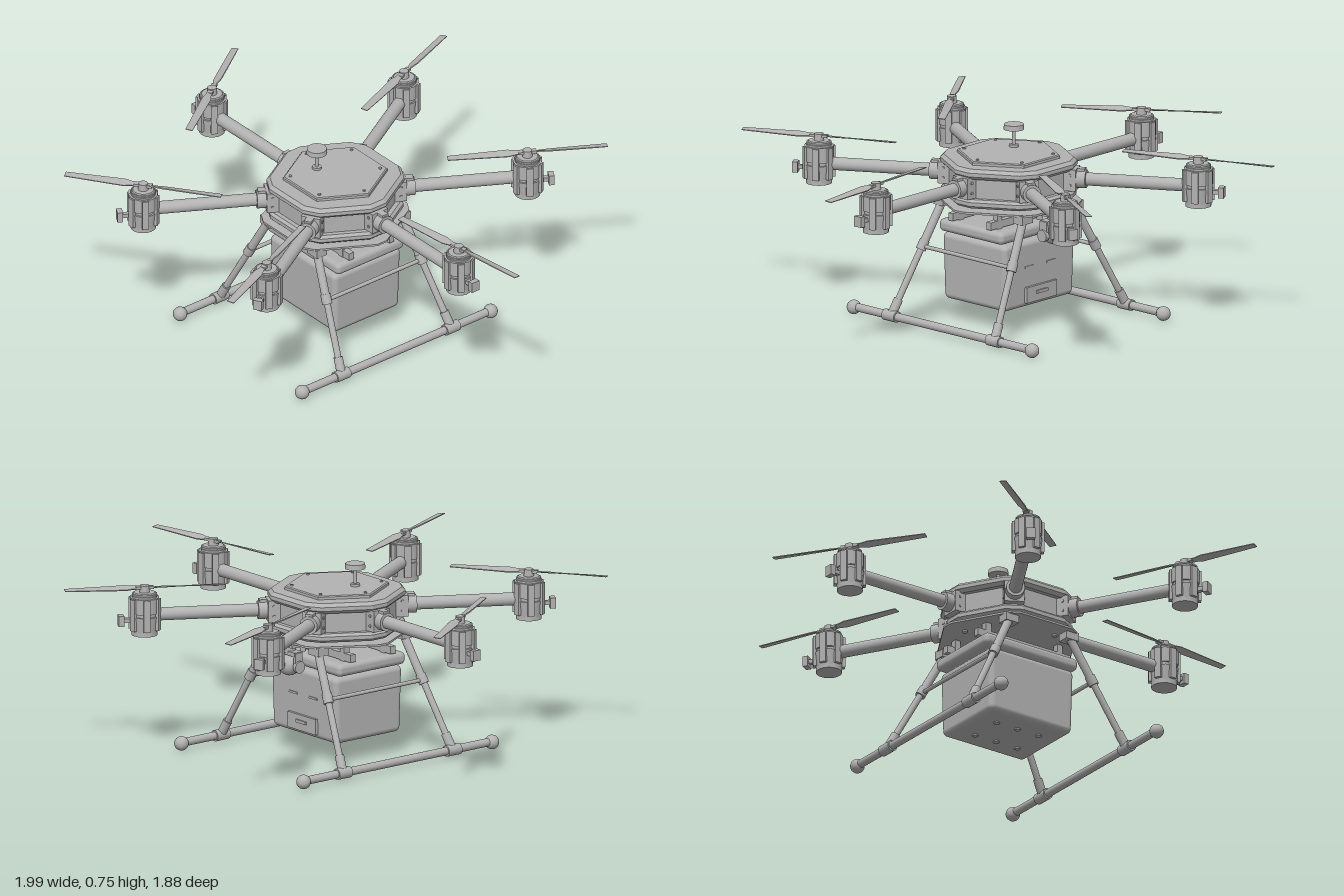
import * as THREE from 'three';
import { RoundedBoxGeometry } from 'three/addons/geometries/RoundedBoxGeometry.js';

export function createModel() {
  const model = new THREE.Group();
  model.name = 'cargoHexacopter';
  const grey = new THREE.MeshStandardMaterial({ color: 0xb2b2b2 });
  grey.name = 'grey';

  // All parts are laid out around the airframe axis, which sits slightly to the right
  const frame = new THREE.Group();
  frame.name = 'airframe';
  frame.position.x = -0.065;
  model.add(frame);

  const add = (parent, name, geo, x = 0, y = 0, z = 0) => {
    const m = new THREE.Mesh(geo, grey);
    m.name = name;
    m.position.set(x, y, z);
    parent.add(m);
    return m;
  };
  const box = (p, name, w, h, d, x, y, z) => add(p, name, new THREE.BoxGeometry(w, h, d), x, y, z);
  const cyl = (p, name, r, h, x, y, z, r2 = r, seg = 20) =>
    add(p, name, new THREE.CylinderGeometry(r2, r, h, seg), x, y, z);
  const UP = new THREE.Vector3(0, 1, 0);
  const rod = (p, name, a, b, r, seg = 16) => {
    const A = new THREE.Vector3(...a), B = new THREE.Vector3(...b);
    const m = add(p, name, new THREE.CylinderGeometry(r, r, A.distanceTo(B), seg));
    m.position.copy(A).add(B).multiplyScalar(0.5);
    m.quaternion.setFromUnitVectors(UP, B.sub(A).normalize());
    return m;
  };
  // Hexagonal slab with its corners cut by an angle, optionally chamfered
  const hexPlate = (name, R, cut, y0, y1, chamfer = 0) => {
    const pts = [];
    for (let i = 0; i < 6; i++) {
      for (const s of cut ? [-cut, cut] : [0]) {
        const a = i * Math.PI / 3 + s;
        pts.push(new THREE.Vector2(Math.cos(a) * R, Math.sin(a) * R));
      }
    }
    const geo = new THREE.ExtrudeGeometry(new THREE.Shape(pts), {
      depth: y1 - y0 - 2 * chamfer, bevelEnabled: chamfer > 0, bevelThickness: chamfer,
      bevelSize: chamfer, bevelOffset: -chamfer, bevelSegments: 1,
    });
    geo.rotateX(-Math.PI / 2);
    return add(frame, name, geo, 0, y0 + chamfer, 0);
  };

  // Central body
  hexPlate('lowerDeck', 0.262, 0.136, 0.49, 0.525, 0.01);
  hexPlate('bodyWalls', 0.232, 0.136, 0.52, 0.61);
  hexPlate('upperCover', 0.265, 0.136, 0.605, 0.646, 0.013);
  hexPlate('lid', 0.203, 0, 0.64, 0.66, 0.004);
  hexPlate('mountingPlate', 0.285, 0.08, 0.472, 0.48);
  for (let i = 0; i < 6; i++) {
    const a = i * Math.PI / 3;
    cyl(frame, 'lidBolt', 0.006, 0.006, Math.cos(a) * 0.175, 0.662, Math.sin(a) * 0.175, 0.006, 10);
    cyl(frame, 'deckPost', 0.01, 0.04, Math.cos(a) * 0.2, 0.485, Math.sin(a) * 0.2, 0.01, 10);
  }

  // Antenna mast
  cyl(frame, 'mastBase', 0.018, 0.012, -0.068, 0.664, 0.036);
  cyl(frame, 'mast', 0.007, 0.08, -0.068, 0.70, 0.036);
  cyl(frame, 'antennaDisc', 0.04, 0.02, -0.068, 0.74, 0.036, 0.038, 28);

  // Propeller blade: a thin bar, twisted and tapered from root to tip
  const bladeGeo = new THREE.BoxGeometry(0.295, 0.005, 0.032, 10, 1, 2);
  bladeGeo.translate(0.1635, 0, 0);
  const bp = bladeGeo.attributes.position;
  for (let i = 0; i < bp.count; i++) {
    const t = (bp.getX(i) - 0.016) / 0.295;
    const w = t < 0.1 ? 0.65 : 1.1 - 0.25 * t;
    const ang = 0.4 - 0.3 * t;
    const z = bp.getZ(i) * w, y = bp.getY(i) * (1 - 0.4 * t);
    bp.setY(i, y * Math.cos(ang) + z * Math.sin(ang));
    bp.setZ(i, z * Math.cos(ang) - y * Math.sin(ang));
  }
  bladeGeo.computeVertexNormals();

  // Six arms; each propeller is parked in its own direction (dx, dz)
  const propellers = [[0.31, -0.037], [0.125, 0.28], [0.25, -0.18], [0.168, 0.248], [0.11, 0.285], [0.155, -0.265]];
  const R = 0.748;
  propellers.forEach(([dx, dz], i) => {
    const arm = new THREE.Group();
    arm.name = 'arm' + (i + 1);
    const a = i * Math.PI / 3;
    arm.rotation.y = -a;
    frame.add(arm);
    rod(arm, 'armTube', [0.2, 0.57, 0], [0.705, 0.57, 0], 0.025, 24);
    box(arm, 'armBracket', 0.075, 0.085, 0.078, 0.235, 0.57, 0);
    rod(arm, 'armCollar', [0.268, 0.57, 0], [0.308, 0.57, 0], 0.036, 24);
    box(arm, 'collarLatch', 0.03, 0.02, 0.03, 0.288, 0.603, 0);
    for (const s of [-1, 1]) {
      for (const y of [0.55, 0.59]) {
        rod(arm, 'bracketBolt', [0.25, y, s * 0.036], [0.25, y, s * 0.043], 0.006, 8);
      }
    }

    // Motor pod
    const pod = new THREE.Group();
    pod.name = 'motorPod';
    pod.position.x = R;
    arm.add(pod);
    cyl(pod, 'motorCore', 0.05, 0.165, 0, 0.5735, 0, 0.048, 24);
    cyl(pod, 'lowerShell', 0.05, 0.065, 0, 0.535, 0, 0.057, 12);
    cyl(pod, 'upperShell', 0.057, 0.06, 0, 0.61, 0, 0.057, 12);
    cyl(pod, 'motorCap', 0.05, 0.012, 0, 0.654, 0, 0.04, 24);
    for (let k = 0; k < 6; k++) {
      const b = (k + 0.5) * Math.PI / 3;
      const rib = box(pod, 'shellRib', 0.012, 0.125, 0.026, Math.cos(b) * 0.056, 0.575, Math.sin(b) * 0.056);
      rib.rotation.y = -b;
    }
    box(pod, 'lightStem', 0.04, 0.016, 0.018, 0.07, 0.55, 0);
    box(pod, 'navigationLight', 0.022, 0.042, 0.036, 0.092, 0.55, 0);
    cyl(pod, 'propellerHub', 0.02, 0.03, 0, 0.672, 0, 0.018);

    // Propeller
    const prop = new THREE.Group();
    prop.name = 'propeller';
    prop.position.set(0, 0.678, 0);
    prop.rotation.y = a + Math.atan2(-dz, dx);
    pod.add(prop);
    box(prop, 'bladeClamp', 0.07, 0.01, 0.022, 0, 0, 0);
    for (const turn of [0, Math.PI]) add(prop, 'blade', bladeGeo).rotation.y = turn;
  });

  // Landing gear, mirrored left and right
  for (const s of [-1, 1]) {
    const x = s * 0.37;
    rod(frame, 'skid', [x, 0.03, -0.47], [x, 0.03, 0.47], 0.016);
    const at = (t, f) => [s * (0.37 - 0.23 * t), 0.03 + 0.435 * t, f * (0.272 - 0.062 * t)];
    for (const f of [-1, 1]) {
      add(frame, 'skidBall', new THREE.SphereGeometry(0.028, 20, 14), x, 0.028, f * 0.468);
      rod(frame, 'skidClamp', [x, 0.03, f * 0.24], [x, 0.03, f * 0.304], 0.022);
      rod(frame, 'leg', at(0, f), at(1, f), 0.013);
      rod(frame, 'legFoot', at(0, f), at(0.14, f), 0.018);
      rod(frame, 'legSleeve', at(0.64, f), at(0.98, f), 0.0165);
      rod(frame, 'legCollar', at(0.56, f), at(0.64, f), 0.02);
      box(frame, 'legMount', 0.06, 0.035, 0.05, s * 0.143, 0.46, f * 0.208);
    }
    rod(frame, 'legBrace', at(0.59, -1), at(0.59, 1), 0.008, 12);
  }

  // Payload suspension
  add(frame, 'releaseDeck', new RoundedBoxGeometry(0.44, 0.05, 0.335, 3, 0.02), 0, 0.382, 0);
  for (const z of [-0.1, 0.1]) {
    box(frame, 'crossRail', 0.44, 0.03, 0.024, 0, 0.425, z);
    for (const x of [-0.17, 0.17]) box(frame, 'hanger', 0.025, 0.075, 0.026, x, 0.44, z);
  }
  box(frame, 'payloadNeck', 0.13, 0.03, 0.13, 0, 0.354, 0);

  // Payload box with slightly narrower base
  const caseGeo = new RoundedBoxGeometry(0.4, 0.265, 0.335, 4, 0.022);
  const cp = caseGeo.attributes.position;
  for (let i = 0; i < cp.count; i++) {
    const k = 0.985 + 0.057 * cp.getY(i) * 2;
    cp.setX(i, cp.getX(i) * k);
    cp.setZ(i, cp.getZ(i) * k);
  }
  add(frame, 'payloadBox', caseGeo, 0, 0.2175, 0);
  box(frame, 'rearHatch', 0.17, 0.062, 0.02, 0, 0.135, -0.165);
  box(frame, 'hatchHandle', 0.06, 0.012, 0.008, 0, 0.14, -0.177);
  for (const x of [-0.06, 0.06]) box(frame, 'ventSlot', 0.05, 0.008, 0.006, x, 0.245, -0.166);
  for (const x of [-0.1, 0, 0.1]) {
    for (const z of [-0.07, 0.07]) cyl(frame, 'baseStud', 0.012, 0.008, x, 0.084, z, 0.012, 12);
  }

  // Camera gimbal at the back
  const gimbal = new THREE.Group();
  gimbal.name = 'cameraGimbal';
  gimbal.position.set(0, 0.39, -0.235);
  frame.add(gimbal);
  box(gimbal, 'gimbalPlate', 0.12, 0.012, 0.1, 0, 0.075, 0.015);
  cyl(gimbal, 'gimbalPivot', 0.025, 0.03, 0, 0.055, 0);
  box(gimbal, 'gimbalYoke', 0.11, 0.016, 0.04, 0, 0.04, 0);
  for (const s of [-1, 1]) {
    box(gimbal, 'yokeArm', 0.012, 0.07, 0.036, s * 0.052, 0.01, 0);
    rod(gimbal, 'pivotDisc', [s * 0.05, -0.01, 0], [s * 0.066, -0.01, 0], 0.024);
    cyl(gimbal, 'damper', 0.012, 0.025, s * 0.045, 0.06, 0.03, 0.012, 12);
  }
  add(gimbal, 'cameraHead', new THREE.SphereGeometry(0.043, 24, 16), 0, -0.01, 0);
  rod(gimbal, 'mainLens', [0, -0.005, -0.03], [0, -0.005, -0.054], 0.019);
  rod(gimbal, 'secondLens', [0.022, -0.03, -0.02], [0.022, -0.03, -0.042], 0.009);
  return model;
}
